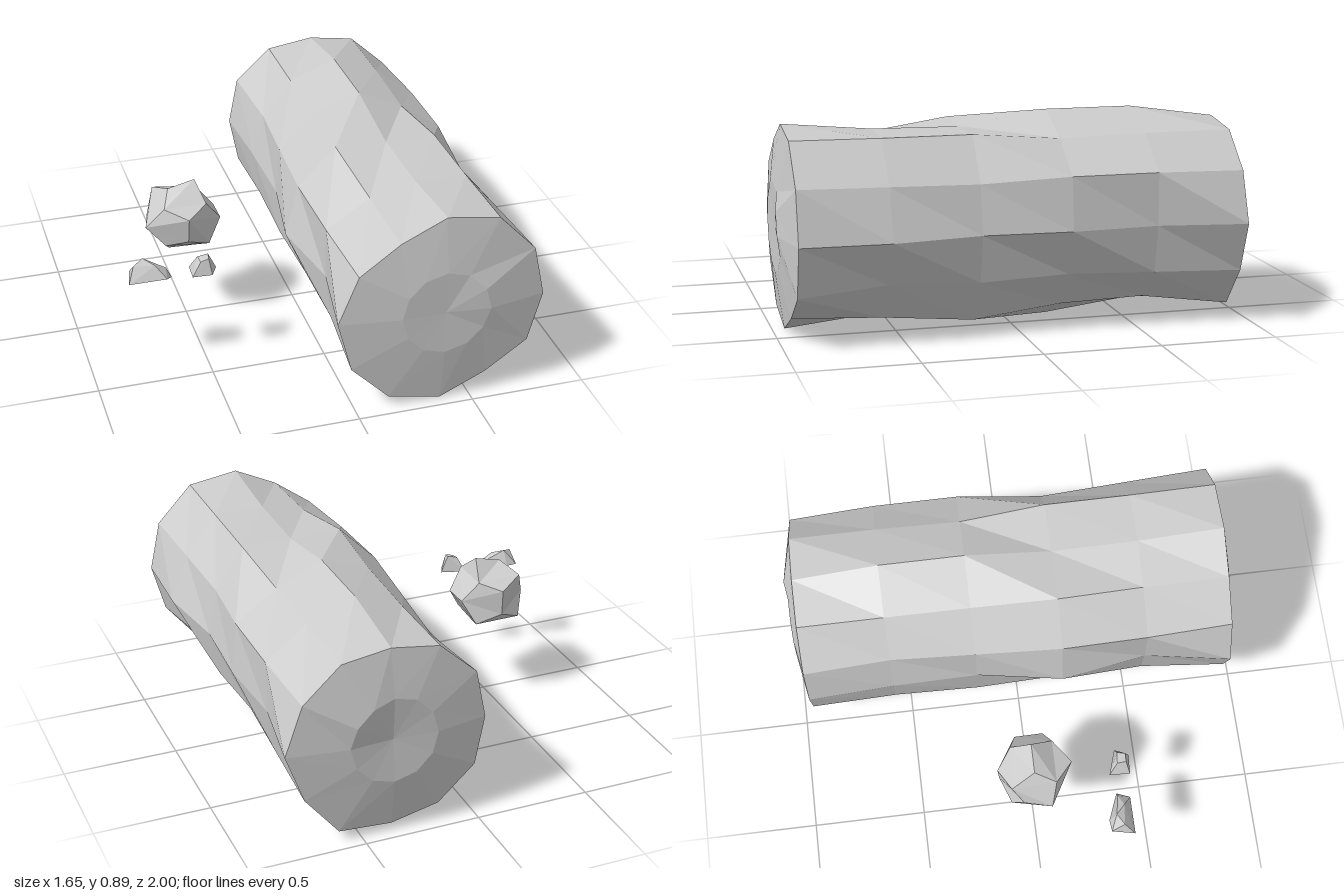
import * as THREE from 'three';
import { mergeVertices } from 'three/addons/utils/BufferGeometryUtils.js';
import { ConvexGeometry } from 'three/addons/geometries/ConvexGeometry.js';

const material = new THREE.MeshStandardMaterial({ color: 0xcccccc, flatShading: true });

function addMesh(parent, name, geometry) {
  const mesh = new THREE.Mesh(geometry, material);
  mesh.name = name;
  parent.add(mesh);
  return mesh;
}

// Twelve-sided log along z; each ring lists its radius every 30 degrees, from +x towards +y
function logGeometry() {
  const sides = 12;
  const even = (r) => new Array(sides).fill(r);
  const rings = [
    { z: 0.98, r: even(0) },
    { z: 0.985, r: even(0.19) },
    { z: 0.95, r: [0.44, 0.45, 0.455, 0.43, 0.39, 0.425, 0.455, 0.455, 0.455, 0.44, 0.4, 0.44] },
    { z: 0.57, r: [0.45, 0.43, 0.45, 0.395, 0.4, 0.45, 0.39, 0.42, 0.42, 0.4, 0.42, 0.39] },
    { z: 0.19, r: [0.395, 0.41, 0.45, 0.39, 0.46, 0.46, 0.455, 0.42, 0.44, 0.395, 0.455, 0.41] },
    { z: -0.19, r: [0.415, 0.45, 0.41, 0.45, 0.43, 0.43, 0.39, 0.43, 0.41, 0.445, 0.41, 0.39] },
    { z: -0.565, r: [0.39, 0.45, 0.42, 0.45, 0.42, 0.4, 0.395, 0.42, 0.44, 0.4, 0.4, 0.41] },
    { z: -0.945, r: [0.45, 0.43, 0.42, 0.395, 0.42, 0.43, 0.415, 0.43, 0.42, 0.41, 0.455, 0.43] },
    { z: -0.985, r: even(0.19) },
    { z: -0.97, r: even(0) },
  ];
  const position = [];
  const index = [];
  rings.forEach(({ z, r }, i) => {
    for (let j = 0; j < sides; j++) {
      const a = (j / sides) * Math.PI * 2;
      // A raised splinter on each sawn end
      const lift = (i === 1 && j < 2) || (i === 8 && (j === 1 || j === 2)) ? 0.015 : 0;
      position.push(r[j] * Math.cos(a), r[j] * Math.sin(a), z + Math.sign(z) * lift);
    }
  });
  for (let i = 0; i < rings.length - 1; i++) {
    for (let j = 0; j < sides; j++) {
      const k = (j + 1) % sides;
      const a = i * sides + j, b = i * sides + k;
      const c = a + sides, d = b + sides;
      if (i > 0) index.push(a, c, b);
      if (i < rings.length - 2) index.push(b, c, d);
    }
  }
  // The two end fans keep one triangle per side
  const geometry = new THREE.BufferGeometry();
  geometry.setAttribute('position', new THREE.Float32BufferAttribute(position, 3));
  geometry.setIndex(index);
  geometry.computeVertexNormals();
  return geometry;
}

// Faceted boulder: a dodecahedron with its corners pushed in and out
function boulderGeometry() {
  const base = new THREE.DodecahedronGeometry(0.166);
  base.deleteAttribute('normal');
  base.deleteAttribute('uv');
  const geometry = mergeVertices(base, 1e-3);
  const p = geometry.attributes.position;
  const v = new THREE.Vector3();
  for (let i = 0; i < p.count; i++) {
    v.fromBufferAttribute(p, i).multiplyScalar(1.01 + 0.1 * Math.sin(i * 2.4 + 1));
    p.setXYZ(i, v.x, v.y, v.z);
  }
  geometry.computeVertexNormals();
  return geometry;
}

const stoneGeometry = (corners) =>
  new ConvexGeometry(corners.map((c) => new THREE.Vector3(...c)));

export function createModel() {
  const group = new THREE.Group();
  group.name = 'logAndStones';

  addMesh(group, 'log', logGeometry()).position.set(0.37, 0.455, 0);
  addMesh(group, 'boulder', boulderGeometry()).position.set(-0.51, 0.515, 0);

  // Two chips lying in front of the boulder
  addMesh(group, 'longChip', stoneGeometry([
    [-0.83, 0.455, 0.41], [-0.81, 0.46, 0.31], [-0.76, 0.46, 0.305],
    [-0.635, 0.43, 0.355], [-0.665, 0.455, 0.41],
    [-0.8, 0.515, 0.365], [-0.755, 0.53, 0.335], [-0.66, 0.48, 0.355], [-0.71, 0.51, 0.375],
  ]));
  addMesh(group, 'smallChip', stoneGeometry([
    [-0.555, 0.455, 0.335], [-0.445, 0.455, 0.37], [-0.475, 0.455, 0.43], [-0.56, 0.455, 0.425],
    [-0.525, 0.52, 0.37], [-0.48, 0.53, 0.375], [-0.485, 0.525, 0.41], [-0.52, 0.515, 0.41],
  ]));

  return group;
}
